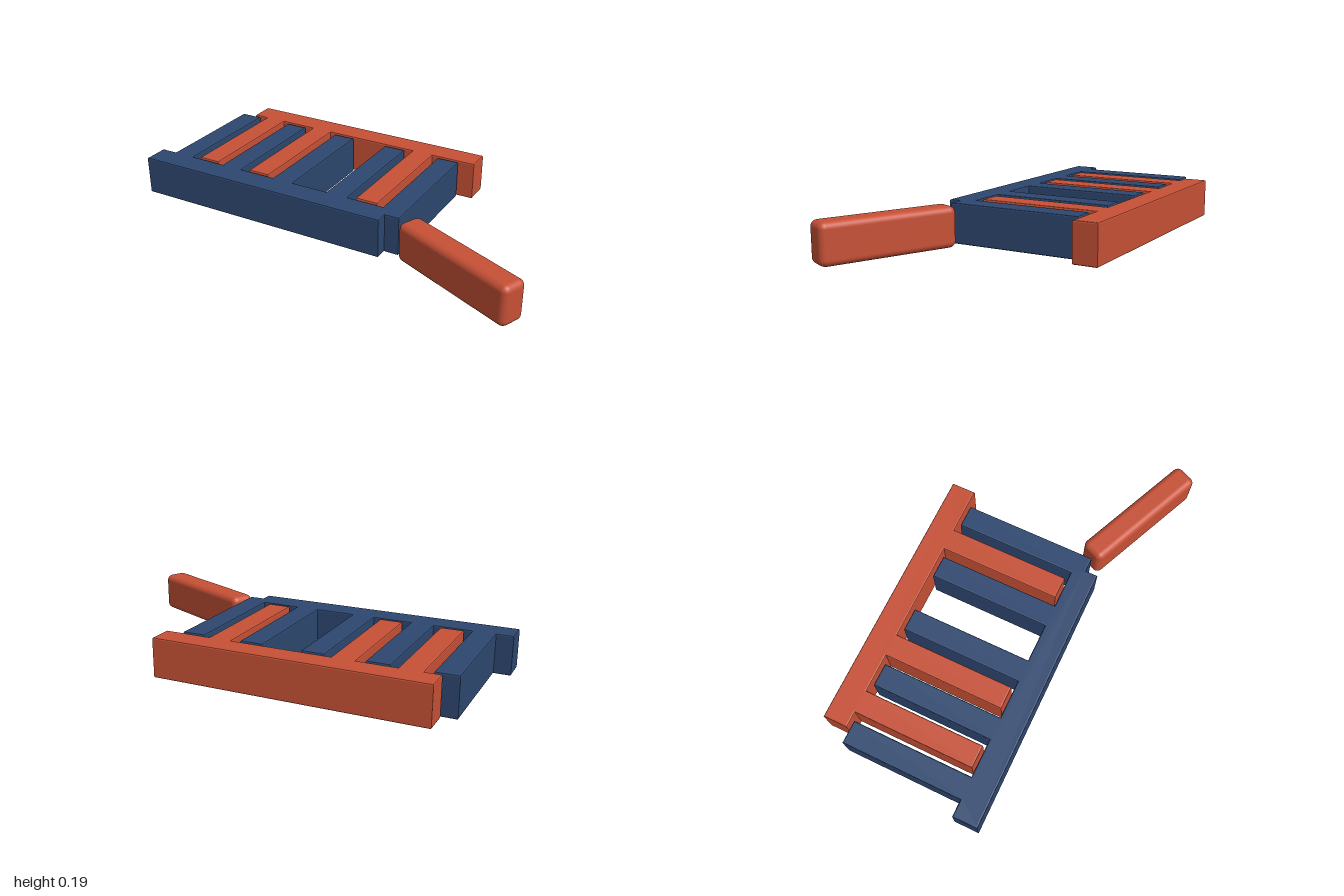
import * as THREE from 'three';
import { RoundedBoxGeometry } from 'three/addons/geometries/RoundedBoxGeometry.js';

const HEIGHT = 0.19;
const BEVEL = 0.007;
const FINGER = 0.109; // finger width

// Upright prism with slightly softened edges from an outline of [x, z] points
function slab(points) {
  const shape = new THREE.Shape(points.map(([x, z]) => new THREE.Vector2(x, z)));
  const geometry = new THREE.ExtrudeGeometry(shape, {
    depth: HEIGHT - 2 * BEVEL,
    bevelThickness: BEVEL,
    bevelSize: BEVEL,
    bevelOffset: -BEVEL,
    bevelSegments: 2,
  });
  geometry.rotateX(Math.PI / 2);
  geometry.translate(0, HEIGHT - BEVEL, 0);
  return geometry;
}

// Square-wave outline of fingers: from the spine edge out to the tips and back
function fingers(centres, root, tip) {
  return centres.flatMap((c) => [
    [c - FINGER / 2, root], [c - FINGER / 2, tip],
    [c + FINGER / 2, tip], [c + FINGER / 2, root],
  ]);
}

export function createModel() {
  const model = new THREE.Group();
  const blue = new THREE.MeshStandardMaterial({ color: 0x2d476f });
  blue.name = 'navy blue';
  const red = new THREE.MeshStandardMaterial({ color: 0xc65036 });
  red.name = 'brick red';

  const add = (name, geometry, material) => {
    const mesh = new THREE.Mesh(geometry, material);
    mesh.name = name;
    model.add(mesh);
    return mesh;
  };

  // Front comb: five fingers, the last one stepping down past the spine's end
  const blueTeeth = fingers([-0.866, -0.575, -0.281, 0.013, 0.306], 0.182, -0.4);
  blueTeeth[blueTeeth.length - 1][1] = 0.243;
  add('frontComb', slab([
    [-1, 0.302], [-1, 0.182], ...blueTeeth, [0.291, 0.243], [0.291, 0.302],
  ]), blue);

  // Back comb: three fingers reaching between the front ones
  add('backComb', slab([
    [-0.852, -0.534], [-0.852, -0.416],
    ...fingers([-0.722, -0.428, 0.16], -0.416, 0.168),
    [0.438, -0.416], [0.438, -0.534],
  ]), red);

  // Loose rounded bar swung out at the corner
  const bar = add('angledBar', new RoundedBoxGeometry(0.645, HEIGHT, 0.12, 4, 0.03), red);
  bar.position.set(0.69, HEIGHT / 2, 0.355);
  bar.rotation.y = -0.413;

  return model;
}
